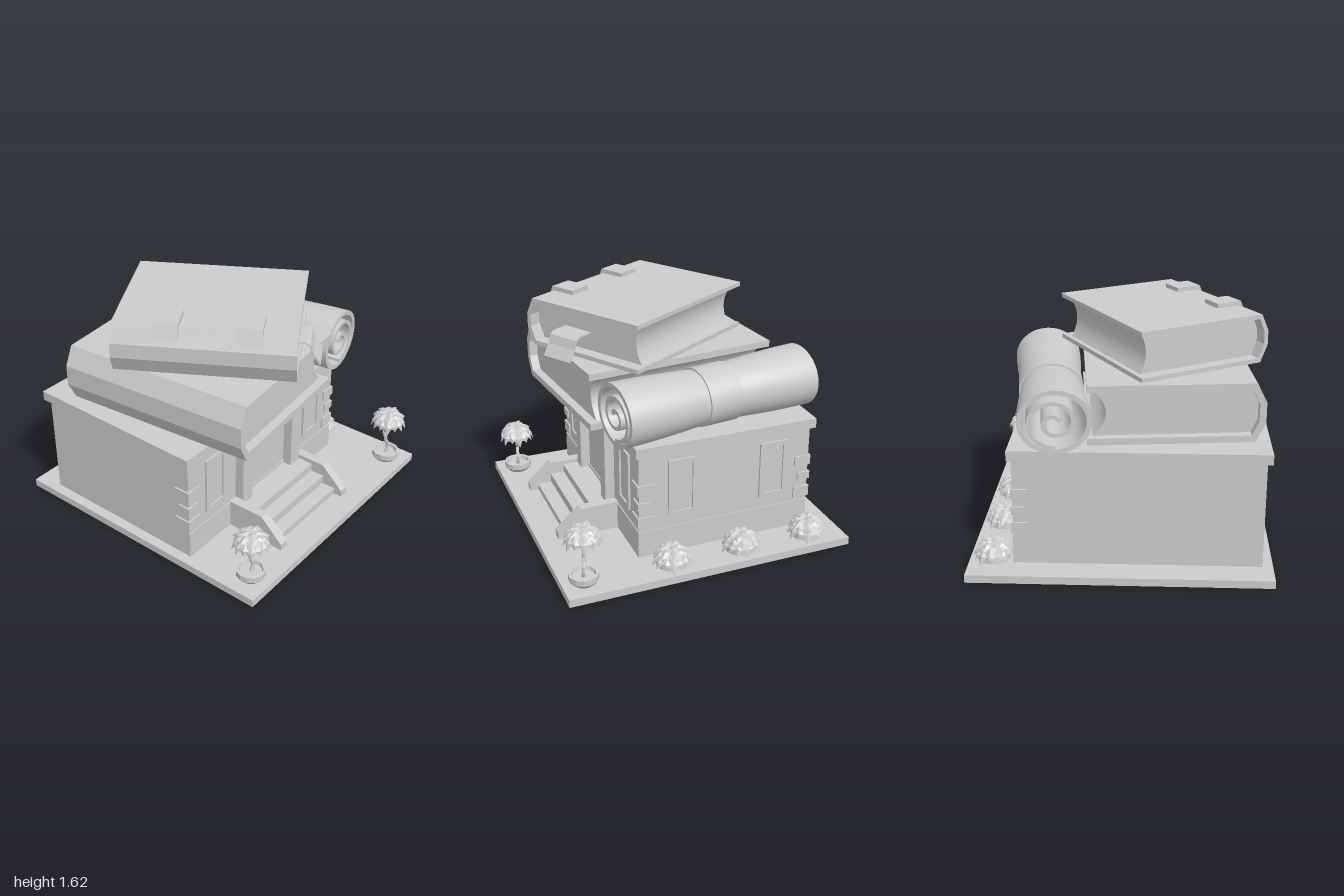
import * as THREE from 'three';
import { mergeGeometries, toCreasedNormals } from 'three/addons/utils/BufferGeometryUtils.js';

const flat = new THREE.MeshStandardMaterial({ color: 0xcccccc, flatShading: true, side: THREE.DoubleSide });
const smooth = new THREE.MeshStandardMaterial({ color: 0xcccccc, side: THREE.DoubleSide });

function add(parent, name, geometry, material = flat) {
  const mesh = new THREE.Mesh(geometry, material);
  mesh.name = name;
  parent.add(mesh);
  return mesh;
}

// Box given by its limits on each axis
function box(parent, name, x0, x1, y0, y1, z0, z1) {
  const g = new THREE.BoxGeometry(x1 - x0, y1 - y0, z1 - z0);
  return add(parent, name, g.translate((x0 + x1) / 2, (y0 + y1) / 2, (z0 + z1) / 2));
}

const polygon = (pts) => new THREE.Shape(pts.map(([x, y]) => new THREE.Vector2(x, y)));

// Extrusion centred on z
function prism(shape, depth, steps = 1) {
  return new THREE.ExtrudeGeometry(shape, { depth, steps, bevelEnabled: false, curveSegments: 24 }).translate(0, 0, -depth / 2);
}

// Raised frame with a recessed pane, facing +z
function makeWindow(x, z, angle) {
  const g = new THREE.Group();
  g.name = 'window';
  const rect = (w, h) => [[-w, -h], [w, -h], [w, h], [-w, h]];
  const shape = polygon(rect(0.102, 0.205));
  shape.holes.push(new THREE.Path(rect(0.07, 0.173).map(([a, b]) => new THREE.Vector2(a, b))));
  add(g, 'windowFrame', prism(shape, 0.03));
  box(g, 'windowPane', -0.075, 0.075, -0.178, 0.178, -0.012, 0.003);
  g.position.set(x, 0.53, z);
  g.rotation.y = angle;
  return g;
}

// Book lying flat: spine at -x, concave fore edge at +x, pages set back at both ends
function makeBook(name, w, len, h, cover, spine, tip, inset, hollow) {
  const g = new THREE.Group();
  g.name = name;
  const e = w / 2, m = h / 2, ti = tip - cover * 0.3, p = cover - 0.002;
  const inner = -e + spine + cover * 0.5;
  add(g, 'cover', prism(polygon([
    [e, h], [-e + spine, h], [-e, m + tip], [-e, m - tip], [-e + spine, 0], [e, 0],
    [e, cover], [inner, cover], [-e + cover, m - ti],
    [-e + cover, m + ti], [inner, h - cover], [e, h - cover],
  ]), len));
  const foreEdge = [];
  for (let i = 0; i <= 12; i++) {
    const s = i / 6 - 1;
    foreEdge.push([e - 0.033 - hollow * (1 - s * s), m + s * (m - p)]);
  }
  const pages = prism(polygon([
    ...foreEdge, [inner, h - p], [-e + cover, m + ti], [-e + cover, m - ti], [inner, p],
  ]), len - inset * 2);
  add(g, 'pages', toCreasedNormals(pages, 0.4), smooth);
  return g;
}

// Rolled sheet pinched at the waist by a band
function makeScroll() {
  const g = new THREE.Group();
  g.name = 'scroll';
  const L = 1.418, N = 56, turns = 1.7, R = 0.236, outer = [], inner = [];
  const rolled = (name, shape) => {
    const sheet = prism(shape, L, 14);
    const pos = sheet.attributes.position;
    for (let i = 0; i < pos.count; i++) {
      const s = 0.83 + 0.17 * Math.sin(Math.min(1, Math.abs(pos.getZ(i)) / (L / 2)) * Math.PI / 2);
      pos.setXY(i, pos.getX(i) * s, pos.getY(i) * s);
    }
    add(g, name, toCreasedNormals(sheet, 0.7), smooth);
  };

  // Outer wrap, then the loose curl leaving it at the bottom
  const wrap = new THREE.Shape().absarc(0, 0, R, 0, Math.PI * 2);
  wrap.holes.push(new THREE.Path().absarc(0, 0, R - 0.034, 0, Math.PI * 2, true));
  rolled('outerWrap', wrap);
  for (let i = 0; i <= N; i++) {
    const t = (i / N) * turns, a = t * Math.PI * 2 - Math.PI / 2;
    const r = 0.05 + 0.155 * Math.pow(1 - t / turns, 1.15);
    outer.push([r * Math.cos(a), r * Math.sin(a) - 0.012 * t / turns]);
    inner.push([(r - 0.028) * Math.cos(a), (r - 0.028) * Math.sin(a) - 0.012 * t / turns]);
  }
  rolled('innerCurl', polygon([...outer, ...inner.reverse()]));

  const ring = [[0.19, -0.122], [0.219, -0.122], [0.219, 0.122], [0.19, 0.122]].map(([r, y]) => new THREE.Vector2(r, y));
  add(g, 'scrollBand', toCreasedNormals(new THREE.LatheGeometry(ring, 40).rotateX(Math.PI / 2), 0.7), smooth);
  g.scale.y = 0.89;
  g.position.set(0.502, 1.063, -0.16);
  g.rotation.y = 0.136;
  return g;
}

// Dome of overlapping pointed leaves; droop is how far the lowest tier reaches past the equator
function makeFoliage(name, r, h, droop) {
  const leaves = [];
  const tiers = [[0.02, 0.62, 5], [0.3, 0.95, 8], [0.6, 1.25, 10], [0.9, 1.48 + droop, 13]];
  tiers.forEach(([a0, a1, n], tier) => {
    for (let i = 0; i < n; i++) {
      const turn = ((i + tier * 0.45) / n) * Math.PI * 2;
      const jitter = 0.12 * Math.sin(i * 2.4 + tier * 1.7);
      const at = (a, k, side) => [side, h * k * Math.cos(a), r * k * Math.sin(a)];
      const mid = a0 + (a1 - a0) * 0.5, wide = r * 0.23;
      const base = at(a0, 0.86, 0), tip = at(a1 + jitter, 1.04 + jitter * 0.6, 0), ridge = at(mid, 0.99, 0);
      const right = at(mid, 0.88, wide), left = at(mid, 0.88, -wide);
      const leaf = new THREE.BufferGeometry();
      leaf.setAttribute('position', new THREE.Float32BufferAttribute([
        base, ridge, right, ridge, tip, right, base, left, ridge, ridge, left, tip].flat(), 3));
      leaf.computeVertexNormals();
      leaves.push(leaf.rotateY(turn));
    }
  });
  const g = new THREE.Group();
  g.name = name;
  add(g, 'leaves', mergeGeometries(leaves));
  const core = new THREE.SphereGeometry(0.82, 12, 5, 0, Math.PI * 2, 0, Math.PI / 2).scale(r, h, r);
  add(g, 'foliageCore', core);
  return g;
}

// Bowl planter with a twisted trunk and leafy crown
function makePottedTree(x, z, crownY, turn) {
  const g = new THREE.Group();
  g.name = 'pottedTree';
  const bowl = [[0, 0], [0.07, 0], [0.1, 0.035], [0.1, 0.075], [0.082, 0.075], [0.075, 0.05], [0, 0.05]];
  add(g, 'pot', new THREE.LatheGeometry(bowl.map(([r, y]) => new THREE.Vector2(r, y)), 12));
  const stem = (pts, r) => new THREE.TubeGeometry(
    new THREE.CatmullRomCurve3(pts.map((p) => new THREE.Vector3(...p))), 8, r, 6);
  const c = crownY;
  add(g, 'trunk', stem([[0, 0.04, 0], [0.018, 0.11, 0.01], [-0.01, 0.18, -0.01], [0.02, c - 0.04, 0], [0.02, c + 0.06, 0]], 0.013));
  add(g, 'branch', stem([[0, 0.17, 0], [-0.03, 0.22, -0.015], [-0.045, c + 0.04, -0.02]], 0.008));
  const crown = makeFoliage('crown', 0.122, 0.12, 0.25);
  crown.position.y = c;
  g.add(crown);
  g.position.set(x, 0.05, z);
  g.rotation.y = turn;
  return g;
}

export function createModel() {
  const model = new THREE.Group();
  model.name = 'bookBuilding';

  // Ground: a tray-like slab, open underneath
  const groundY = 0.054;
  add(model, 'groundTop', new THREE.PlaneGeometry(2, 2).rotateX(-Math.PI / 2)).position.y = groundY;
  const rim = new THREE.CylinderGeometry(Math.SQRT2, Math.SQRT2, groundY, 4, 1, true).rotateY(Math.PI / 4);
  add(model, 'groundRim', rim).position.y = groundY / 2;

  // Walls and roof
  box(model, 'walls', -0.93, 0.698, groundY, 0.8, -0.815, 0.423);
  box(model, 'plinth', -0.929, 0.705, groundY, 0.245, -0.814, 0.43);
  box(model, 'roofSlab', -0.962, 0.722, 0.792, 0.86, -0.848, 0.447);

  // Corner stones
  for (const [x, z] of [[-0.93, 0.423], [0.698, 0.423], [0.698, -0.815]]) {
    for (const [y0, y1, s] of [[0.27, 0.35, 0.105], [0.405, 0.46, 0.078], [0.515, 0.585, 0.105]]) {
      const sx = Math.sign(x), sz = Math.sign(z), xs = [x + sx * 0.012, x - sx * s], zs = [z + sz * 0.012, z - sz * s];
      box(model, 'cornerStone', Math.min(...xs), Math.max(...xs), y0, y1, Math.min(...zs), Math.max(...zs));
    }
  }

  // Windows on the front and one side
  for (const x of [-0.66, 0.435]) model.add(makeWindow(x, 0.423, 0));
  for (const z of [0.118, -0.545]) model.add(makeWindow(0.698, z, Math.PI / 2));

  // Entrance: pillars, steps and sloping side walls
  for (const x of [-0.39, 0.163]) box(model, 'pillar', x - 0.05, x + 0.05, groundY, 0.82, 0.4, 0.49);
  [[0.225, 0.6], [0.165, 0.7], [0.1, 0.8]].forEach(([y, z]) => box(model, 'step', -0.46, 0.235, 0.05, y, 0.4, z));
  const cheek = polygon([[-0.42, 0.048], [-0.86, 0.048], [-0.86, 0.1], [-0.695, 0.255], [-0.42, 0.255]]);
  for (const x of [-0.475, 0.256]) {
    add(model, 'stepSideWall', prism(cheek, 0.065).rotateY(Math.PI / 2)).position.x = x;
  }

  // Lower book
  const lower = makeBook('lowerBook', 1.145, 1.367, 0.397, 0.045, 0.066, 0.07, 0.06, 0.09);
  lower.position.set(-0.29, 0.86, 0);
  lower.rotation.y = 0.098;
  model.add(lower);

  // Upper book with spine straps and a ribbon marker
  const upper = makeBook('upperBook', 0.964, 1.165, 0.33, 0.03, 0.055, 0.05, 0.085, 0.045);
  upper.position.set(-0.246, 1.26, 0.082);
  upper.rotation.y = 0.537;
  const strap = polygon([[-0.255, 0.32], [-0.255, 0.36], [-0.44, 0.36], [-0.48, 0.262], [-0.45, 0.255], [-0.42, 0.32]]);
  for (const z of [-0.234, 0.287]) add(upper, 'spineStrap', prism(strap, 0.163)).position.z = z;
  const ribbon = polygon([
    [-0.46, 0.153], [-0.61, 0.153], [-0.64, 0.135], [-0.66, 0.08], [-0.71, 0.004],
    [-0.718, 0.01], [-0.668, 0.085], [-0.648, 0.142], [-0.615, 0.161], [-0.46, 0.161],
  ]);
  add(upper, 'ribbonMarker', prism(ribbon, 0.23).rotateY(Math.PI / 2)).position.x = -0.095;
  model.add(upper);

  model.add(makeScroll());

  // Planting
  [-0.75, -0.25, 0.25].forEach((z, i) => {
    const bush = makeFoliage('bush', 0.13, 0.155, 0.05);
    bush.position.set(0.845, 0.055, z);
    bush.rotation.y = i * 1.3;
    model.add(bush);
  });
  model.add(makePottedTree(-0.83, 0.855, 0.275, 0.4));
  model.add(makePottedTree(0.84, 0.855, 0.315, 0.2));
  return model;
}
